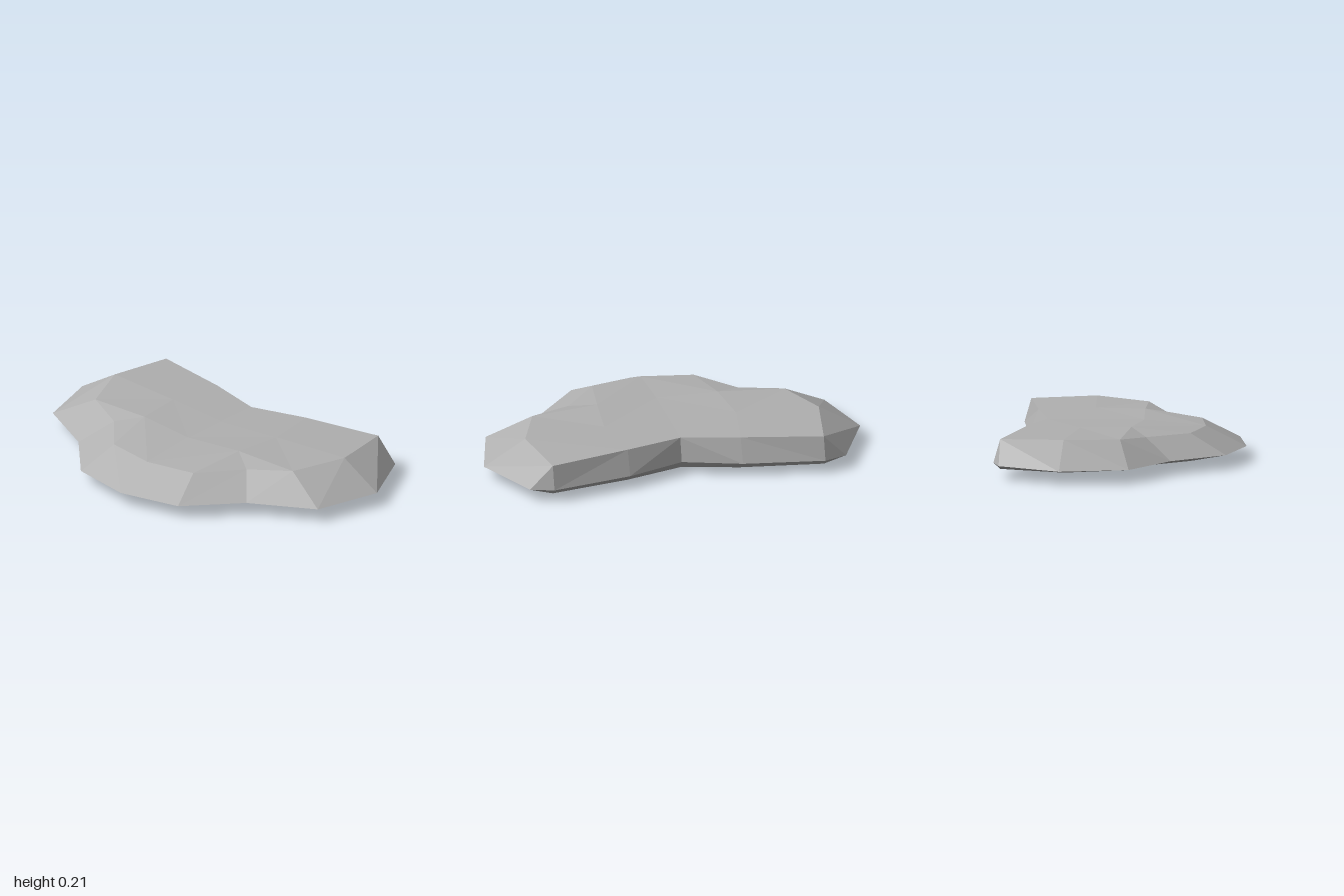
import * as THREE from 'three';

// Left half of the outer rim, from front middle to back middle: [x, z]
const RIM_Y = 0.072;
const rim = [
  [0, 0.61], [0.33, 0.54], [0.57, 0.28], [0.9, 0.1], [1, -0.25],
  [0.84, -0.58], [0.72, -0.62], [0.3, -0.55], [0, -0.45],
];

// Inset ring (0-7) and inner points (8-11): [x, z, height above, height below]
const inner = [
  [0, 0.4, 0.175, 0.03], [0.27, 0.35, 0.175, 0.03], [0.45, 0.14, 0.177, 0.03],
  [0.67, 0.03, 0.195, 0.035], [0.78, -0.25, 0.205, 0.035], [0.72, -0.585, 0.195, 0.04],
  [0.3, -0.5, 0.2, 0.03], [0, -0.42, 0.197, 0.03],
  [0, 0.08, 0.2, 0.002], [0.32, 0.05, 0.21, 0.006], [0.35, -0.21, 0.206, 0.016], [0, -0.18, 0.2, 0.012],
];

// Faces of the broad surface, by index into inner
const plates = [
  [0, 1, 9, 8], [1, 2, 9], [2, 3, 9], [3, 4, 10, 9],
  [4, 5, 6, 10], [10, 6, 7, 11], [8, 9, 10, 11],
];

// Inner point that each rim point bevels up to
const bevelTo = [0, 1, 2, 3, 4, 5, 5, 6, 7];

// One shell of the slab: the broad surface plus its bevel, mirrored across x
function shell(top) {
  const inside = inner.map(([x, z, up, down]) => [x, top ? up : down, z]);
  const outside = rim.map(([x, z]) => [x, RIM_Y, z]);
  const faces = plates.map((f) => f.map((i) => inside[i]));
  for (let k = 0; k < rim.length - 1; k++) {
    const a = bevelTo[k], b = bevelTo[k + 1];
    const face = [outside[k], outside[k + 1], inside[b]];
    if (a !== b) face.push(inside[a]);
    faces.push(face);
  }

  const positions = [];
  for (const side of [1, -1]) {
    const flip = (side < 0) === top;
    for (const f of faces) {
      for (let i = 1; i < f.length - 1; i++) {
        const tri = flip ? [f[0], f[i + 1], f[i]] : [f[0], f[i], f[i + 1]];
        for (const [x, y, z] of tri) positions.push(x * side, y, z);
      }
    }
  }
  const geometry = new THREE.BufferGeometry();
  geometry.setAttribute('position', new THREE.Float32BufferAttribute(positions, 3));
  geometry.computeVertexNormals();
  return geometry;
}

export function createModel() {
  const group = new THREE.Group();
  group.name = 'slab';
  const grey = new THREE.MeshStandardMaterial({ color: 0xb0b0b0, flatShading: true });
  grey.name = 'stone grey';

  // Upper and lower shells meet at the sharp rim
  for (const top of [true, false]) {
    const mesh = new THREE.Mesh(shell(top), grey);
    mesh.name = top ? 'upperShell' : 'lowerShell';
    group.add(mesh);
  }
  return group;
}
